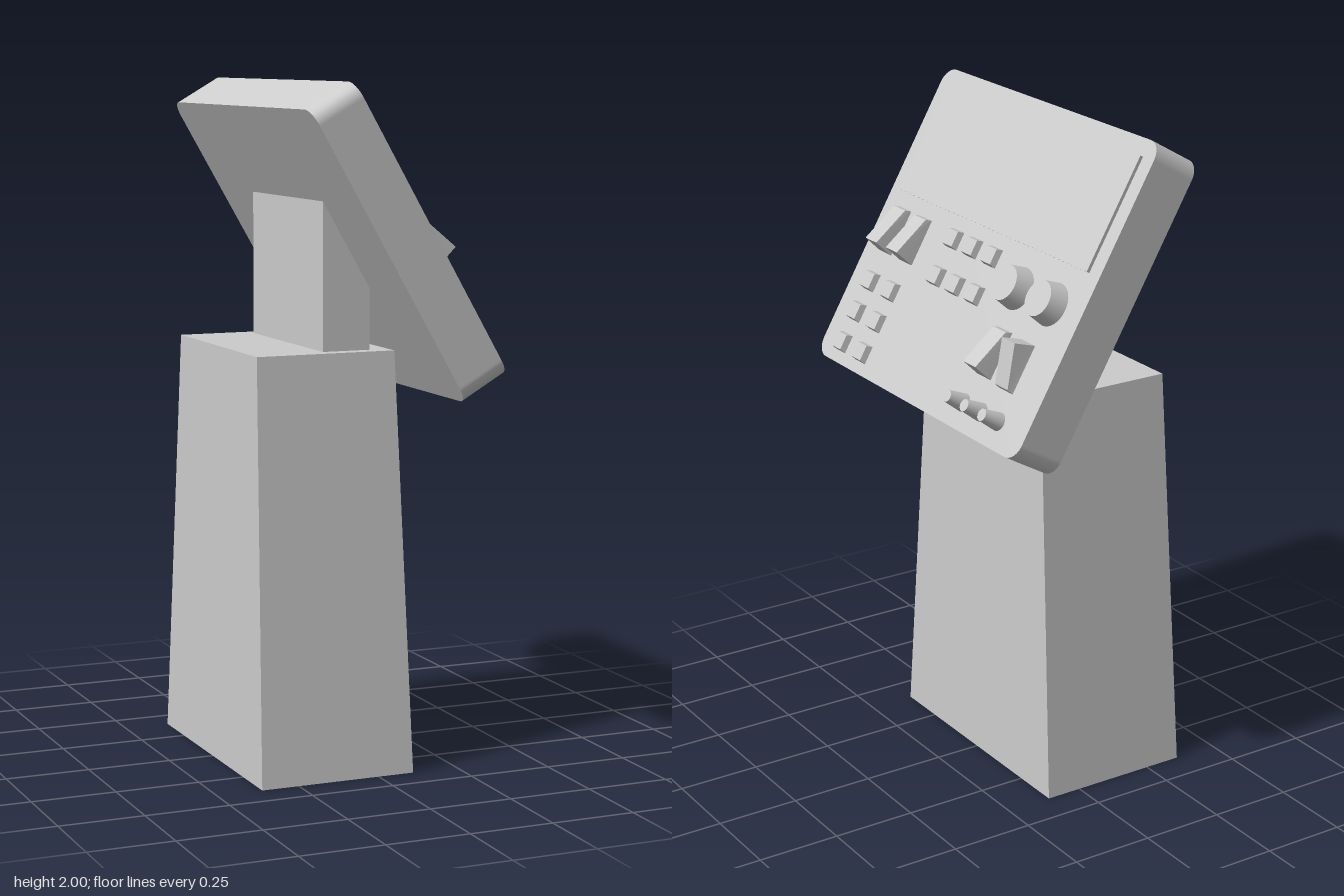
import * as THREE from 'three';

const material = new THREE.MeshStandardMaterial({ color: 0xcccccc });
const openMaterial = new THREE.MeshStandardMaterial({ color: 0xcccccc, side: THREE.DoubleSide });

function add(parent, name, geometry, x = 0, y = 0, z = 0, mat = material) {
  const mesh = new THREE.Mesh(geometry, mat);
  mesh.name = name;
  mesh.position.set(x, y, z);
  parent.add(mesh);
  return mesh;
}

// Block rising along +z from z = 0, with its own height at the upper and lower end;
// the ends lean inwards in proportion to their height.
function wedge(width, length, upperHeight, lowerHeight, lean = 0.25, sideInset = 0.003) {
  const geometry = new THREE.BoxGeometry(width, length, 1);
  const p = geometry.attributes.position;
  for (let i = 0; i < p.count; i++) {
    const x = p.getX(i), y = p.getY(i);
    if (p.getZ(i) < 0) {
      p.setZ(i, 0);
    } else {
      const height = y > 0 ? upperHeight : lowerHeight;
      p.setXYZ(i, x - Math.sign(x) * sideInset, y - Math.sign(y) * height * lean, height);
    }
  }
  geometry.computeVertexNormals();
  return geometry;
}

// Tapered round control standing along +z
function knob(bottomRadius, topRadius, height) {
  return new THREE.CylinderGeometry(topRadius, bottomRadius, height, 32)
    .rotateX(Math.PI / 2).translate(0, 0, height / 2);
}

// Tapered pedestal, open underneath
function pedestalGeometry() {
  const height = 1.23;
  const geometry = new THREE.BoxGeometry(2, height, 2).translate(0, height / 2, 0);
  const p = geometry.attributes.position;
  for (let i = 0; i < p.count; i++) {
    const top = p.getY(i) > 0;
    const x = p.getX(i) < 0 ? (top ? -0.34 : -0.363) : (top ? 0.085 : 0.11);
    p.setX(i, x);
    p.setZ(i, p.getZ(i) * (top ? 0.312 : 0.4));
  }
  const index = Array.from(geometry.index.array);
  index.splice(18, 6); // drop the bottom face
  geometry.setIndex(index);
  geometry.clearGroups();
  geometry.computeVertexNormals();
  return geometry;
}

// Slab with rounded corners, front face at z = 0
function slabGeometry(width, height, depth, r) {
  const w = width / 2, h = height / 2;
  const s = new THREE.Shape();
  s.moveTo(-w + r, -h);
  s.lineTo(w - r, -h);
  s.absarc(w - r, -h + r, r, -Math.PI / 2, 0);
  s.lineTo(w, h - r);
  s.absarc(w - r, h - r, r, 0, Math.PI / 2);
  s.lineTo(-w + r, h);
  s.absarc(-w + r, h - r, r, Math.PI / 2, Math.PI);
  s.lineTo(-w, -h + r);
  s.absarc(-w + r, -h + r, r, Math.PI, Math.PI * 1.5);
  return new THREE.ExtrudeGeometry(s, { depth, bevelEnabled: false, curveSegments: 6 })
    .translate(0, 0, -depth);
}

export function createModel() {
  const model = new THREE.Group();
  model.name = 'controlConsole';

  add(model, 'pedestal', pedestalGeometry(), 0, 0, 0, openMaterial);
  add(model, 'neck', new THREE.BoxGeometry(0.145, 0.43, 0.54), -0.0475, 1.445, 0);

  // Tilted panel: local z is its outward normal, local y runs up its face
  const panel = new THREE.Group();
  panel.name = 'controlPanel';
  panel.position.set(0.095, 1.5875, 0);
  panel.rotation.set(0, Math.PI / 2, Math.PI / 6, 'ZYX');
  model.add(panel);

  add(panel, 'panelBody', slabGeometry(1.1, 0.953, 0.15, 0.05));
  add(panel, 'screen', wedge(1, 0.348, 0.01, 0.01, 0, 0), 0, 0.252);

  // Push buttons: a wide block in the middle and a tall block at the side
  const button = wedge(0.057, 0.057, 0.02, 0.02);
  for (const y of [0.009, -0.11])
    for (const x of [-0.138, -0.034, 0.07]) add(panel, 'button', button, x, y);
  for (const y of [-0.21, -0.311, -0.412])
    for (const x of [-0.439, -0.32]) add(panel, 'button', button, x, y);

  // Rocker switches, the last one flipped the other way
  const rocker = wedge(0.07, 0.145, 0.02, 0.066);
  const flippedRocker = wedge(0.07, 0.148, 0.066, 0.02);
  add(panel, 'rockerSwitch', rocker, -0.439, -0.042);
  add(panel, 'rockerSwitch', rocker, -0.32, -0.042);
  add(panel, 'rockerSwitch', rocker, 0.265, -0.235);
  add(panel, 'rockerSwitch', flippedRocker, 0.383, -0.24);

  // Rotary knobs and small toggles
  for (const x of [0.238, 0.409]) add(panel, 'rotaryKnob', knob(0.064, 0.053, 0.055), x, -0.043);
  for (const x of [0.23, 0.321, 0.412]) add(panel, 'toggle', knob(0.027, 0.018, 0.064), x, -0.399);

  return model;
}
